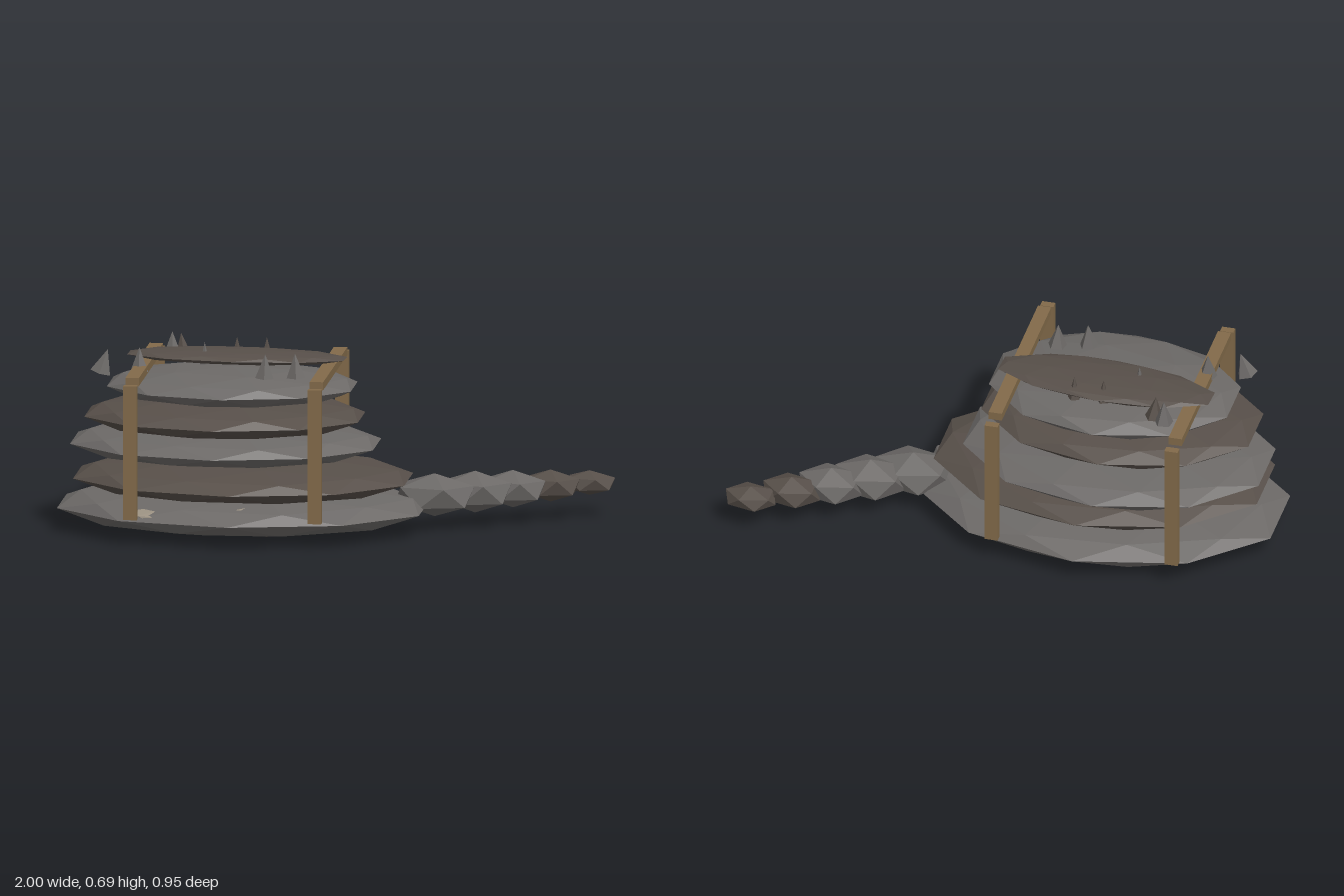
import * as THREE from 'three';

const mat = (name, color) => {
  const m = new THREE.MeshStandardMaterial({ color, flatShading: true });
  m.name = name;
  return m;
};

export function createModel() {
  const group = new THREE.Group();
  const grey = mat('grey rock', 0x6c6967);
  const brown = mat('brown rock', 0x574f49);
  const timber = mat('timber', 0x826a49);
  const pale = mat('pale stone', 0x9a9081);

  function add(name, geometry, material, x, y, z) {
    const mesh = new THREE.Mesh(geometry, material);
    mesh.name = name;
    mesh.position.set(x, y, z);
    group.add(mesh);
    return mesh;
  }

  // Faceted stone with a corner pointing straight up, stretched to its radii
  function stone(rx, ry, rz, detail) {
    const g = new THREE.IcosahedronGeometry(1, detail);
    g.rotateX(-Math.atan((1 + Math.sqrt(5)) / 2));
    g.rotateY(Math.PI / 2);
    return g.scale(rx, ry, rz);
  }

  // Stacked slabs of the heap: x, y, z, half width, half height, half depth
  [
    [-0.33, 0.088, 0, 0.705, 0.086, 0.475],
    [-0.325, 0.203, 0.03, 0.645, 0.073, 0.44],
    [-0.397, 0.32, -0.03, 0.59, 0.071, 0.41],
    [-0.392, 0.432, 0.035, 0.533, 0.07, 0.365],
    [-0.365, 0.545, 0.03, 0.475, 0.067, 0.34],
  ].forEach(([x, y, z, rx, ry, rz], i) =>
    add('heapLayer' + (i + 1), stone(rx, ry, rz, 1), i % 2 ? brown : grey, x, y, z));

  // Long flat stone on top
  const cap = add('capStone', stone(0.425, 0.025, 0.138, 1), brown, -0.36, 0.632, -0.075);
  cap.rotation.y = -0.05;

  // Trail of shrinking stones: x, z, half width, half height, half depth
  [
    [0.37, -0.09, 0.165, 0.08, 0.123],
    [0.51, -0.172, 0.15, 0.078, 0.112],
    [0.64, -0.25, 0.135, 0.07, 0.1],
    [0.77, -0.33, 0.12, 0.06, 0.085],
    [0.905, -0.408, 0.106, 0.046, 0.075],
  ].forEach(([x, z, rx, ry, rz], i) =>
    add('trailStone' + (i + 1), stone(rx, ry, rz, 0), i < 3 ? grey : brown, x, 0.126, z));

  // Two timber frames: posts front and back with a beam across
  for (const x of [-0.695, -0.012]) {
    for (const z of [-0.412, 0.412])
      add('post', new THREE.BoxGeometry(0.05, 0.5, 0.03), timber, x, 0.35, z);
    add('crossBeam', new THREE.BoxGeometry(0.05, 0.03, 0.73), timber, x, 0.605, 0);
  }

  // Pointed shards: x, z, radius, tilt, material
  [
    [-0.825, 0.145, 0.04, -0.3, grey], [-0.7, 0.1, 0.035, 0, grey],
    [-0.225, 0.185, 0.036, 0.05, grey], [-0.115, 0.16, 0.036, -0.05, grey],
    [-0.62, -0.24, 0.036, 0, grey], [-0.58, -0.215, 0.034, 0.1, brown],
    [-0.475, -0.035, 0.022, 0, grey], [-0.37, -0.155, 0.025, 0, brown],
    [-0.26, -0.16, 0.025, 0, brown],
  ].forEach(([x, z, r, tilt, m], i) => {
    const shard = add('shard', new THREE.ConeGeometry(r, 0.09, 5), m, x, 0.643, z);
    shard.rotation.set(0, i * 1.3, tilt);
  });

  // Pale flakes lying on the front of the lowest slab
  for (const [x, y, z, rx] of [[-0.61, 0.112, 0.36, 0.09], [-0.3, 0.124, 0.365, 0.12]]) {
    const flake = add('flake', stone(rx, 0.012, 0.045, 0), pale, x, y, z);
    flake.rotation.x = 0.35;
  }
  add('lowFlake', stone(0.09, 0.02, 0.05, 0), brown, -0.2, 0.055, 0.35);

  return group;
}
